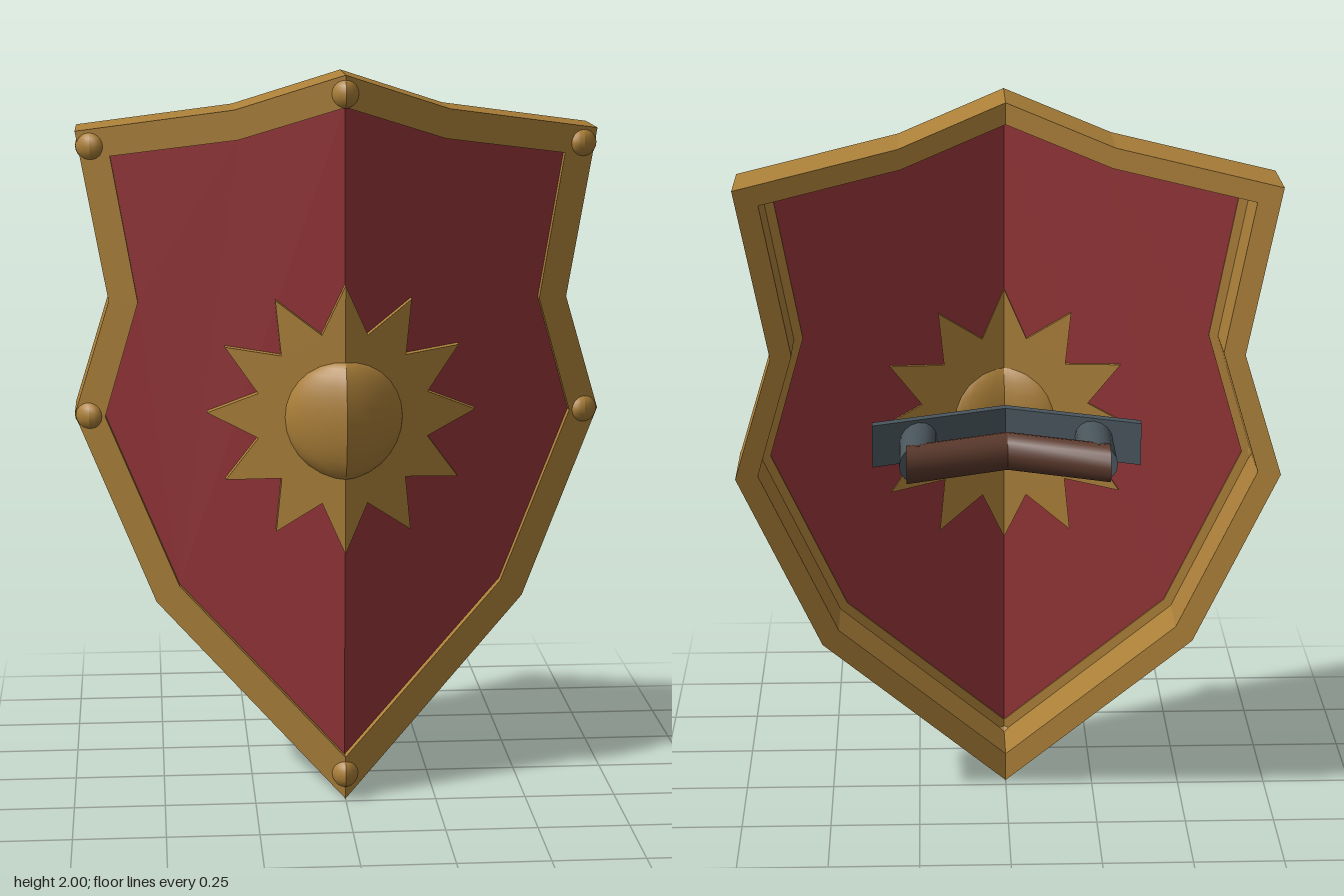
import * as THREE from 'three';
import { mergeGeometries } from 'three/addons/utils/BufferGeometryUtils.js';

const mat = (name, color) => Object.assign(new THREE.MeshStandardMaterial({ color }), { name });

// Left half outlines, from top centre to bottom tip
const OUTER = [[0, 2], [0.29, 1.9], [0.72, 1.83], [0.635, 1.365], [0.735, 1.04], [0.515, 0.52], [0, 0]];
const INNER = [[0, 1.915], [0.28, 1.82], [0.625, 1.765], [0.555, 1.365], [0.65, 1.04], [0.45, 0.57], [0, 0.12]];
const CENTRE_Y = 1.07;

// Folds a geometry back along the vertical centre line
function fold(geo) {
  const p = geo.attributes.position;
  for (let i = 0; i < p.count; i++) p.setZ(i, p.getZ(i) - 0.4 * Math.abs(p.getX(i)));
  geo.computeVertexNormals();
  return geo;
}

// Folded plate: a half outline extruded from z0 to z1 and mirrored
function plate(points, z0, z1) {
  const halves = [1, -1].map((s) => {
    const shape = new THREE.Shape(points.map(([x, y]) => new THREE.Vector2(s * x, y)));
    const geo = new THREE.ExtrudeGeometry(shape, { depth: z1 - z0, bevelEnabled: false });
    return fold(geo.translate(0, 0, z0));
  });
  return mergeGeometries(halves);
}

// Folded ellipsoid made of two halves, so the fold stays sharp
function dome(x, y, z, r, depth, segments) {
  const halves = [0.5, 1.5].map((start) => {
    const geo = new THREE.SphereGeometry(r, segments, segments, start * Math.PI, Math.PI);
    return fold(geo.scale(1, 1, depth / r).translate(x, y, z));
  });
  return mergeGeometries(halves);
}

// Frame outline whose inner edge lies at fraction t of the rim width
function frame(t) {
  const inset = OUTER.map(([x, y], i) => [x + (INNER[i][0] - x) * t, y + (INNER[i][1] - y) * t]);
  return [...OUTER, ...inset.reverse()];
}

export function createModel() {
  const gold = mat('gold', 0xac8039);
  const red = mat('red', 0x943437);
  const steel = mat('steel', 0x49555c);
  const leather = mat('leather', 0x5c3a2d);

  const model = new THREE.Group();
  model.name = 'shield';
  const add = (name, geo, material) => {
    const mesh = new THREE.Mesh(geo, material);
    mesh.name = name;
    model.add(mesh);
  };

  // Rim: front lip and narrower deep wall behind it
  add('rimLip', plate(frame(1), 0.19, 0.23), gold);
  add('rimWall', plate(frame(0.7), 0.03, 0.19), gold);
  add('panel', plate(INNER, 0.195, 0.2), red);

  // Twelve-pointed sun with a domed boss
  const star = [];
  for (let i = 0; i <= 12; i++) {
    const a = (i * Math.PI) / 12;
    const r = i % 2 ? 0.24 : 0.37;
    star.push([i === 12 ? 0 : r * Math.sin(a), CENTRE_Y + r * Math.cos(a)]);
  }
  add('sun', plate(star, 0.185, 0.23), gold);
  add('boss', dome(0, CENTRE_Y, 0.22, 0.163, 0.07, 14), gold);

  // Studs around the rim
  for (const [x, y] of [[0, 1.95], [0.68, 1.79], [0.695, 1.04], [0, 0.07]]) {
    for (const s of x ? [1, -1] : [1]) add('stud', dome(s * x, y, 0.215, 0.04, 0.038, 10), gold);
  }

  // Strap plate, two posts and the grip at the back
  add('strap', plate([[0, 1.13], [0.37, 1.13], [0.37, 1.01], [0, 1.01]], 0.06, 0.09), steel);
  for (const s of [1, -1]) {
    const post = new THREE.CylinderGeometry(0.052, 0.052, 0.22, 16).rotateX(Math.PI / 2);
    add('post', fold(post.translate(s * 0.243, CENTRE_Y, -0.03)), steel);
  }
  const grip = [1, -1].map((s) => {
    const geo = new THREE.CylinderGeometry(0.052, 0.052, 0.275, 16).rotateZ(Math.PI / 2);
    return fold(geo.translate(s * 0.1375, CENTRE_Y, -0.132));
  });
  add('grip', mergeGeometries(grip), leather);

  return model;
}
